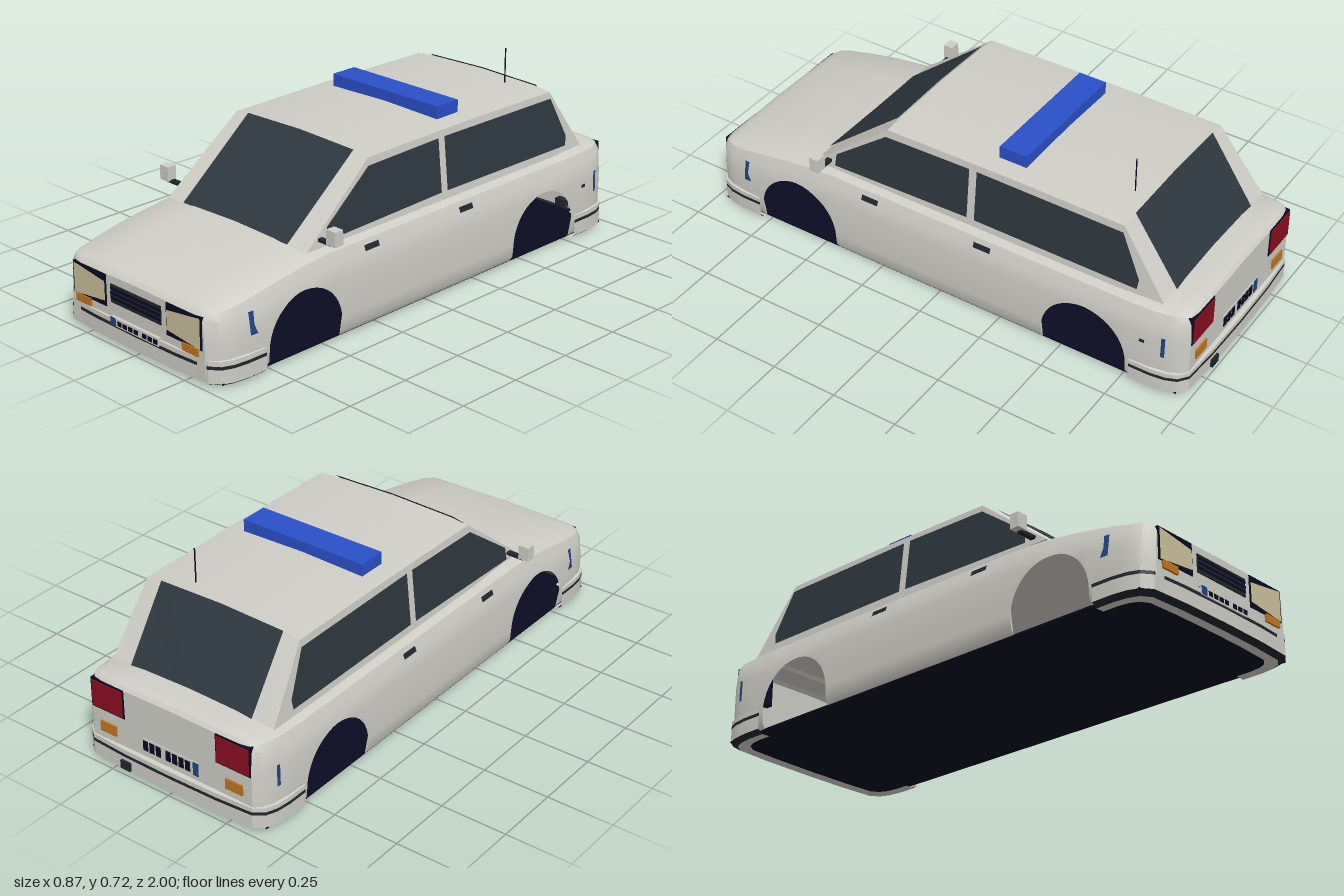
import * as THREE from 'three';
import { toCreasedNormals } from 'three/addons/utils/BufferGeometryUtils.js';

const mat = (name, color, side = THREE.FrontSide) =>
  Object.assign(new THREE.MeshStandardMaterial({ color, side }), { name });

// Piecewise linear lookup in [[key, value], ...] with rising keys
function lerpTable(t, k) {
  if (k <= t[0][0]) return t[0][1];
  for (let i = 1; i < t.length; i++) {
    if (k <= t[i][0]) {
      const [a, va] = t[i - 1], [b, vb] = t[i];
      return va + (vb - va) * (k - a) / (b - a || 1);
    }
  }
  return t[t.length - 1][1];
}

// Skin a grid of points, optionally closing the first and last rows
function skin(rows, caps = false, crease = 0.5) {
  const pos = [], va = new THREE.Vector3(), vb = new THREE.Vector3(), vc = new THREE.Vector3();
  const tri = (a, b, c) => {
    va.set(...a); vb.set(...b).sub(va); vc.set(...c).sub(va);
    if (vb.cross(vc).length() > 1e-9) pos.push(...a, ...b, ...c);
  };
  for (let i = 0; i + 1 < rows.length; i++) {
    for (let j = 0; j + 1 < rows[i].length; j++) {
      const a = rows[i][j], b = rows[i + 1][j], c = rows[i][j + 1], d = rows[i + 1][j + 1];
      tri(a, c, b);
      tri(b, c, d);
    }
  }
  if (caps) {
    const f = rows[0], l = rows[rows.length - 1];
    for (let j = 1; j + 1 < f.length; j++) {
      tri(f[0], f[j + 1], f[j]);
      tri(l[0], l[j], l[j + 1]);
    }
  }
  const g = new THREE.BufferGeometry();
  g.setAttribute('position', new THREE.Float32BufferAttribute(pos, 3));
  return toCreasedNormals(g, crease);
}

// Body shape along z: top height, plan taper and shoulder drop
const topLine = [[-0.978, 0.325], [-0.968, 0.338], [-0.94, 0.345], [-0.87, 0.35], [0.45, 0.35], [0.55, 0.345],
  [0.7, 0.325], [0.85, 0.298], [0.95, 0.272], [0.973, 0.26], [0.985, 0.245]];
const taper = [[0, 1], [0.75, 1], [0.85, 0.99], [0.92, 0.965], [0.955, 0.925], [0.975, 0.87], [0.985, 0.84]];
const drop = [[0, 1], [0.88, 1], [0.985, 0.35]];
const ARCH_Z = 0.6, ARCH_R = 0.165, ARCH_Y = 0.072, SILL = 0.015;

function section(z) {
  const H = lerpTable(topLine, z), w = lerpTable(taper, Math.abs(z)), s = lerpTable(drop, Math.abs(z));
  return [[0.385, SILL], [0.397, 0.035], [0.4, 0.08], [0.4, H - 0.12], [0.392, H - 0.075 * s], [0.375, H - 0.03 * s],
    [0.345, H - 0.012 * s], [0.2, H - 0.003], [0, H]].map(([x, y]) => [x * w, y]);
}
const bodyX = (y, z) => lerpTable(section(z).map(([x, h]) => [h, x]), y);

function bodyRow(z) {
  const d = Math.abs(Math.abs(z) - ARCH_Z);
  const low = d <= ARCH_R ? ARCH_Y + Math.sqrt(ARCH_R * ARCH_R - d * d) : SILL;
  const half = section(z).map(([x, y]) => (y < low ? [bodyX(low, z), low, z] : [x, y, z]));
  return [...half, ...half.slice(0, -1).reverse().map(([x, y, k]) => [-x, y, k])];
}

export function createModel() {
  const car = new THREE.Group();
  car.name = 'car';
  const D = THREE.DoubleSide;
  const paint = mat('paint', 0xcecdc6, D), glass = mat('glass', 0x2e383f, D), navy = mat('darkNavy', 0x0a0a20, D);
  const trim = mat('darkTrim', 0x20262b, D), beacon = mat('beaconBlue', 0x2b50c8), blue = mat('markerBlue', 0x20437f, D);
  const red = mat('tailRed', 0x8a0e20), amber = mat('amber', 0xc07620), lens = mat('lensCream', 0xcbc19b, D);

  const add = (name, geo, m, parent = car) => {
    const mesh = new THREE.Mesh(geo, m);
    mesh.name = name;
    parent.add(mesh);
    return mesh;
  };
  const box = (name, m, x0, x1, y0, y1, z0, z1) =>
    add(name, new THREE.BoxGeometry(Math.abs(x1 - x0), y1 - y0, Math.abs(z1 - z0)), m)
      .position.set((x0 + x1) / 2, (y0 + y1) / 2, (z0 + z1) / 2);

  // Flat plate given as [z, y] points, laid on a side surface x = xf(y, z)
  const sidePlate = (name, m, s, pts, xf) => {
    const g = new THREE.ShapeGeometry(new THREE.Shape(pts.map(([z, y]) => new THREE.Vector2(-s * z, y))));
    const p = g.attributes.position;
    for (let i = 0; i < p.count; i++) {
      const z = -s * p.getX(i), y = p.getY(i);
      p.setXYZ(i, s * (xf(y, z) + 0.004), y, z);
    }
    g.computeVertexNormals();
    add(name, g, m);
  };
  const rect = (z0, z1, y0, y1) => [[z0, y0], [z1, y0], [z1, y1], [z0, y1]];

  // Hollow body shell with open wheel arches
  const stations = [0, -0.2, 0.2];
  for (const s of [-1, 1]) {
    for (let i = 0; i <= 20; i++) stations.push(s * (ARCH_Z - ARCH_R * Math.cos(i / 20 * Math.PI)));
    stations.push(s * (ARCH_Z - ARCH_R - 0.0005), s * (ARCH_Z + ARCH_R + 0.0005));
    for (const z of [0.81, 0.85, 0.89, 0.92, 0.94, 0.955, 0.968]) stations.push(s * z);
  }
  stations.push(-0.978, -0.87, 0.975, 0.985);
  stations.sort((a, b) => a - b);
  add('bodyShell', skin(stations.map(bodyRow), true), paint);
  box('floor', navy, -0.383, 0.383, 0.012, 0.018, -0.955, 0.955);

  // Cabin: pillars and crowned roof
  const foot = (z) => [0.35, 0.342, 0.26, 0, -0.26, -0.342, -0.35].map((x) => [x, 0.335, z]);
  const hoop = (z, up = 0) => [[0.35, 0.335], [0.325, 0.58], [0.26, 0.588], [0, 0.595], [-0.26, 0.588],
    [-0.325, 0.58], [-0.35, 0.335]].map(([x, y]) => [x, y > 0.4 ? y + up : y, z]);
  add('cabin', skin([foot(-0.87), hoop(-0.7), hoop(-0.25, 0.004), hoop(0.24), foot(0.55)], false, 0.3), paint);

  // Windscreen and rear window
  const edge = (yc, ys, z) => [[0.26, ys, z], [0, yc, z], [-0.26, ys, z]];
  add('windscreen', skin([edge(0.598, 0.591, 0.243), edge(0.34, 0.34, 0.552)]), glass);
  add('rearWindow', skin([edge(0.34, 0.34, -0.873), edge(0.598, 0.591, -0.703)]), glass);

  // Fittings on both sides
  const cabinX = (y) => 0.35 - (y - 0.335) * 0.102;
  for (const s of [-1, 1]) {
    sidePlate('frontSideWindow', glass, s,
      [[0.458, 0.352], [0.453, 0.4], [0.245, 0.553], [-0.1, 0.56], [-0.1, 0.365]], cabinX);
    sidePlate('rearSideWindow', glass, s,
      [[-0.13, 0.365], [-0.13, 0.56], [-0.7, 0.556], [-0.775, 0.4], [-0.77, 0.362]], cabinX);
    sidePlate('frontDoorHandle', trim, s, rect(0.25, 0.318, 0.285, 0.304), bodyX);
    sidePlate('rearDoorHandle', trim, s, rect(-0.22, -0.152, 0.285, 0.304), bodyX);
    sidePlate('frontSideMark', blue, s,
      [[0.845, 0.157], [0.815, 0.157], [0.829, 0.19], [0.825, 0.235], [0.845, 0.235]], bodyX);
    sidePlate('rearSideMark', blue, s, rect(-0.907, -0.893, 0.157, 0.238), bodyX);
    box('mirrorArm', trim, s * 0.335, s * 0.41, 0.359, 0.37, 0.475, 0.495);
    box('mirror', paint, s * 0.395, s * 0.437, 0.366, 0.42, 0.468, 0.505);

    // Headlight, indicator and tail lamps
    box('headlightSurround', navy, s * 0.153, s * 0.325, 0.125, 0.241, 0.945, 0.988);
    const shape = new THREE.Shape([[0.157, 0.145], [0.319, 0.127], [0.319, 0.237], [0.157, 0.215]]
      .map(([x, y]) => new THREE.Vector2(s * x, y)));
    add('headlightLens', new THREE.ShapeGeometry(shape), lens).position.z = 0.99;
    box('frontIndicator', amber, s * 0.233, s * 0.308, 0.1, 0.128, 0.96, 0.993);
    box('tailSurround', navy, s * 0.198, s * 0.343, 0.21, 0.322, -0.95, -0.981);
    box('tailLamp', red, s * 0.204, s * 0.337, 0.216, 0.316, -0.96, -0.985);
    box('rearIndicator', amber, s * 0.237, s * 0.308, 0.125, 0.165, -0.96, -0.984);
  }
  sidePlate('fuelFlap', trim, 1, rect(-0.835, -0.815, 0.194, 0.207), bodyX);

  // Bumpers wrapped round both ends, in coloured bands of [height, inset]
  const outline = [[0.403, 0.78], [0.403, 0.86], [0.396, 0.915], [0.38, 0.955], [0.345, 0.982], [0.2, 0.991], [0, 0.994]];
  const path = [...outline.map(([x, z]) => [-x, z]), ...outline.slice(0, -1).reverse()];
  const ring = ([y, inset]) => path.map(([x, z]) => [x * (1 - inset / 0.4), y, z - inset * Math.max(0, (z - 0.78) / 0.2)]);
  const bands = [['bumperUnderside', paint, [[0.002, 0.055], [0, 0.02]]], ['bumperLip', trim, [[0, 0.02], [0.015, 0]]],
    ['bumperLower', paint, [[0.015, 0], [0.065, 0]]], ['bumperStrip', trim, [[0.065, 0], [0.077, 0]]],
    ['bumperUpper', paint, [[0.077, 0], [0.094, 0], [0.102, 0.03]]]];
  for (const [name, turn] of [['frontBumper', 0], ['rearBumper', Math.PI]]) {
    const bumper = new THREE.Group();
    bumper.name = name;
    bumper.rotation.y = turn;
    for (const [part, m, profile] of bands) add(part, skin(profile.map(ring)), m, bumper);
    car.add(bumper);
  }

  // Grille with dark slots
  box('grille', trim, -0.127, 0.127, 0.15, 0.216, 0.975, 0.989);
  for (const y of [0.168, 0.185, 0.202]) box('grilleSlot', navy, -0.127, 0.127, y - 0.005, y + 0.005, 0.98, 0.991);

  // Number plates with plain blocks
  box('frontPlate', paint, -0.122, 0.12, 0.073, 0.103, 0.98, 0.997);
  box('frontPlateBand', blue, -0.122, -0.096, 0.074, 0.103, 0.985, 0.999);
  box('rearPlate', paint, -0.122, 0.12, 0.118, 0.17, -0.97, -0.981);
  box('rearPlateBand', blue, -0.122, -0.1, 0.119, 0.169, -0.97, -0.984);
  for (const x of [-0.076, -0.048, -0.02, 0.008, 0.051, 0.079, 0.107]) {
    box('frontPlateBlock', navy, x - 0.01, x + 0.01, 0.079, 0.095, 0.99, 0.999);
    box('rearPlateBlock', navy, x - 0.01, x + 0.01, 0.125, 0.163, -0.97, -0.984);
  }

  // Exhaust, light bar and aerial
  box('exhaust', trim, 0.17, 0.212, 0.02, 0.052, -0.95, -1);
  box('lightBar', beacon, -0.256, 0.256, 0.587, 0.638, -0.28, -0.173);
  add('aerial', new THREE.CylinderGeometry(0.0025, 0.0025, 0.136, 6), navy).position.set(0.16, 0.654, -0.643);
  return car;
}
